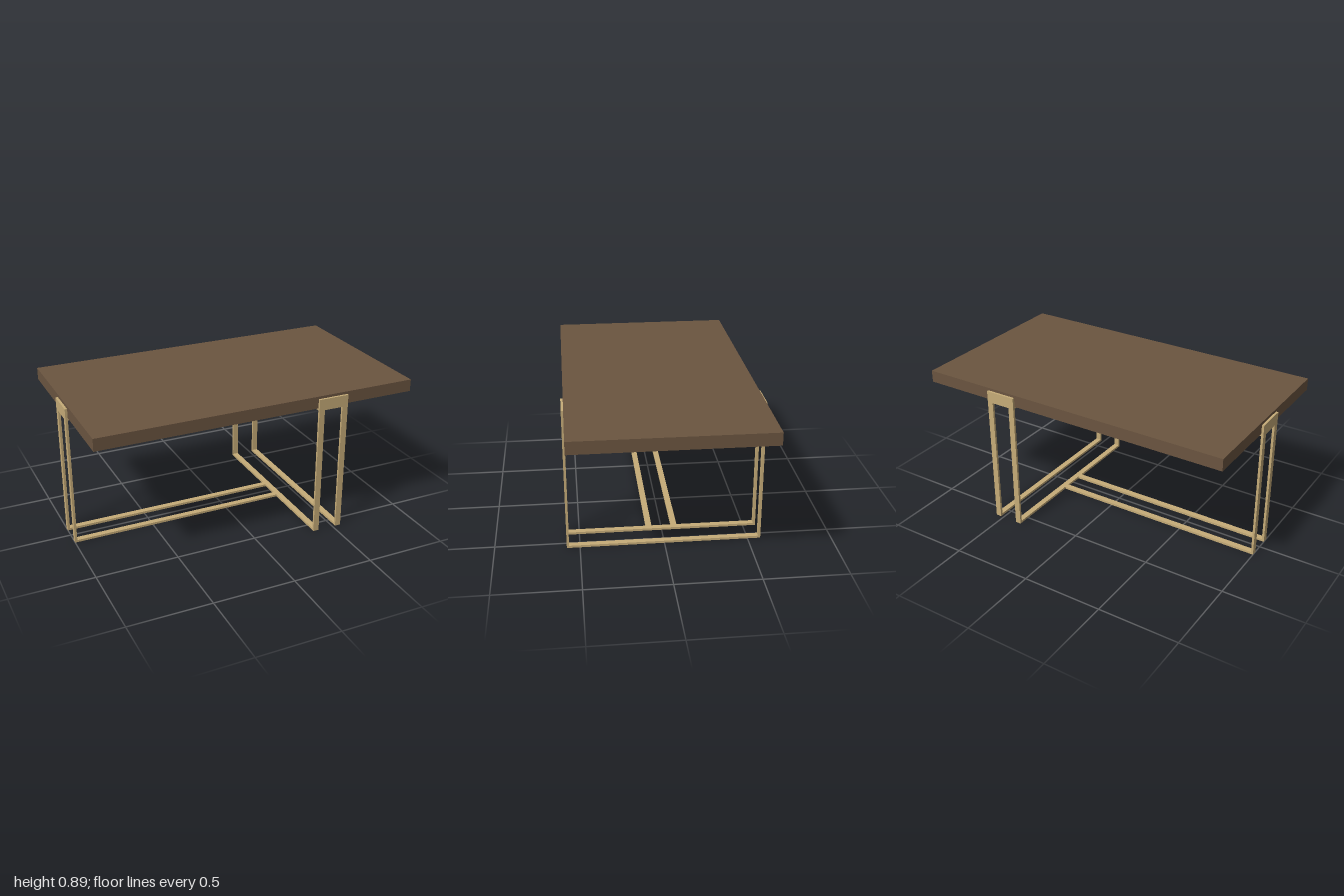
import * as THREE from 'three';

const W = 0.19, BAR = 0.036, T = 0.014;   // frame width, bar width, metal thickness
const H = 0.872, HEAD = 0.802, TOP_Y = 0.814;

const wood = new THREE.MeshStandardMaterial({ color: 0x6b5540 });
wood.name = 'walnut brown';
const brass = new THREE.MeshStandardMaterial({ color: 0xc6ac78 });
brass.name = 'brushed brass';

function box(name, material, x0, x1, y0, y1, z0, z1) {
  const mesh = new THREE.Mesh(new THREE.BoxGeometry(x1 - x0, y1 - y0, z1 - z0), material);
  mesh.position.set((x0 + x1) / 2, (y0 + y1) / 2, (z0 + z1) / 2);
  mesh.name = name;
  return mesh;
}

// One leg facing +z, outer face at z = 0: twin uprights, head plate, bracket and floor bars
function makeLeg(name, barLength) {
  const leg = new THREE.Group();
  leg.name = name;

  // Uprights joined by the head plate, cut as one inverted U
  const h = W / 2, inner = h - BAR;
  const outline = new THREE.Shape([
    [-h, 0], [-inner, 0], [-inner, HEAD], [inner, HEAD],
    [inner, 0], [h, 0], [h, H], [-h, H],
  ].map(([x, y]) => new THREE.Vector2(x, y)));
  const uprights = new THREE.Mesh(
    new THREE.ExtrudeGeometry(outline, { depth: T, bevelEnabled: false }), brass);
  uprights.position.z = -T;
  uprights.name = 'uprights';
  leg.add(uprights);

  // Bracket carrying the tabletop
  leg.add(box('bracket', brass, -h, h, HEAD, TOP_Y, -0.068, -T));

  // Floor bars running inward
  for (const s of [-1, 1]) {
    const x = s * (h - BAR / 2);
    leg.add(box('floorBar', brass, x - BAR / 2, x + BAR / 2, 0, T, -barLength, -T));
  }
  return leg;
}

export function createModel() {
  const table = new THREE.Group();
  table.name = 'table';

  // Tabletop
  table.add(box('tabletop', wood, -0.985, 1, TOP_Y, 0.888, -0.564, 0.564));

  // Front and back legs, meeting at the middle
  const frontLeg = makeLeg('frontLeg', 0.578);
  frontLeg.position.set(0.46, 0, 0.578);
  const backLeg = makeLeg('backLeg', 0.578);
  backLeg.position.set(0.46, 0, -0.578);
  backLeg.rotation.y = Math.PI;

  // Side leg at the right end, its bars reaching the cross frame
  const sideLeg = makeLeg('sideLeg', 1.365);
  sideLeg.position.x = -1;
  sideLeg.rotation.y = -Math.PI / 2;

  table.add(frontLeg, backLeg, sideLeg);
  return table;
}
